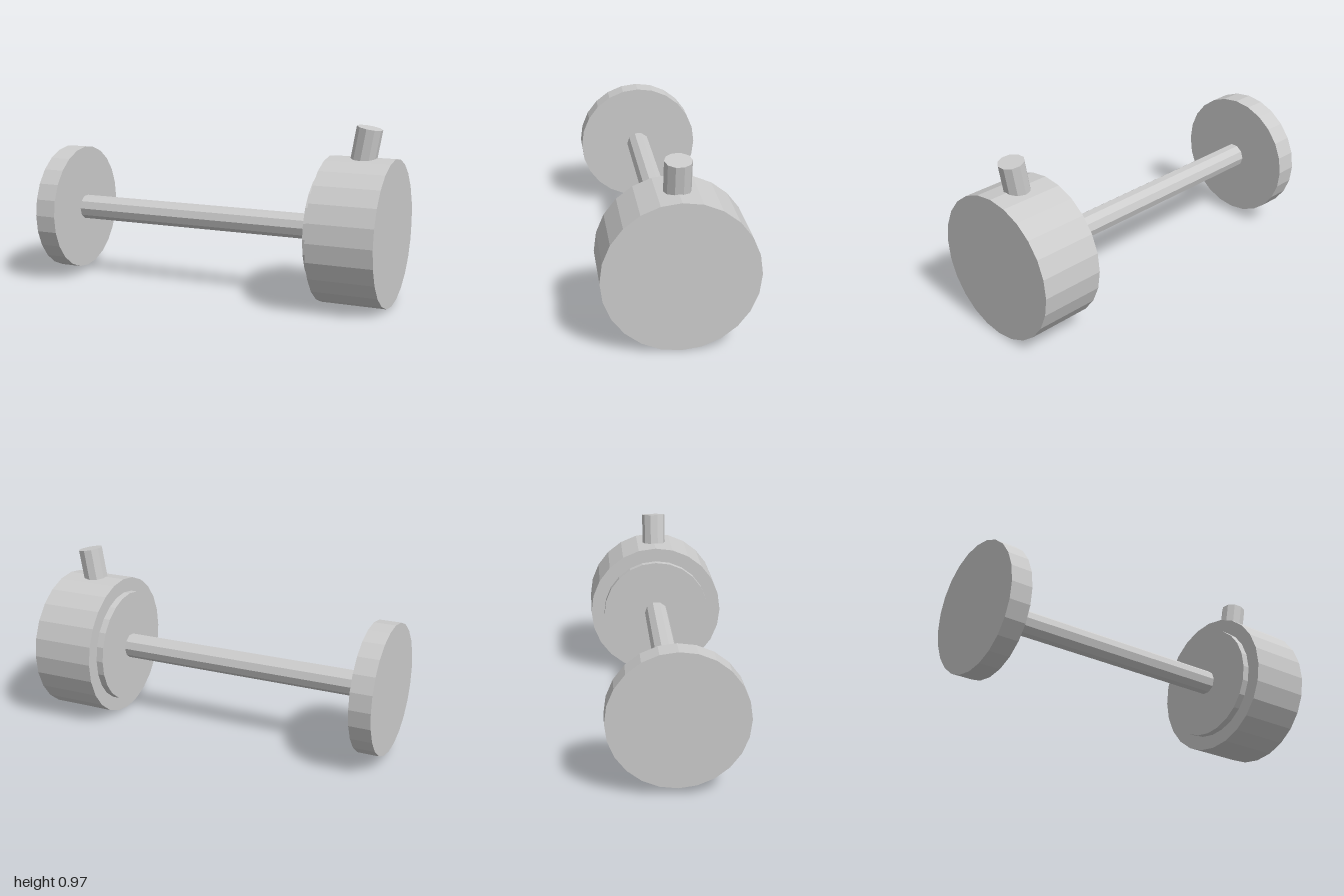
import * as THREE from 'three';

export function createModel() {
  const group = new THREE.Group();
  const grey = new THREE.MeshStandardMaterial({ color: 0xcccccc, flatShading: true });
  grey.name = 'light grey';

  // Cylinder lying along x between two positions, on the common axis y = 0.4
  function axial(name, radius, x0, x1, sides) {
    const geometry = new THREE.CylinderGeometry(radius, radius, x1 - x0, sides);
    const mesh = new THREE.Mesh(geometry, grey);
    mesh.name = name;
    mesh.rotation.z = -Math.PI / 2;
    mesh.position.set((x0 + x1) / 2, 0.4, 0);
    group.add(mesh);
  }

  axial('endDisc', 0.36, -1, -0.88, 24);
  axial('shaft', 0.07, -0.88, 0.6, 10);
  axial('collar', 0.32, 0.6, 0.64, 24);
  axial('drum', 0.4, 0.64, 1, 24);

  // Short peg leaning outward, its foot sunk in the drum
  const tilt = THREE.MathUtils.degToRad(10);
  const length = 0.24;
  const peg = new THREE.Mesh(new THREE.CylinderGeometry(0.07, 0.07, length, 10), grey);
  peg.name = 'peg';
  peg.rotation.z = -tilt;
  peg.position.set(0.857 - Math.sin(tilt) * length / 2, 0.96 - Math.cos(tilt) * length / 2, 0);
  group.add(peg);

  return group;
}
